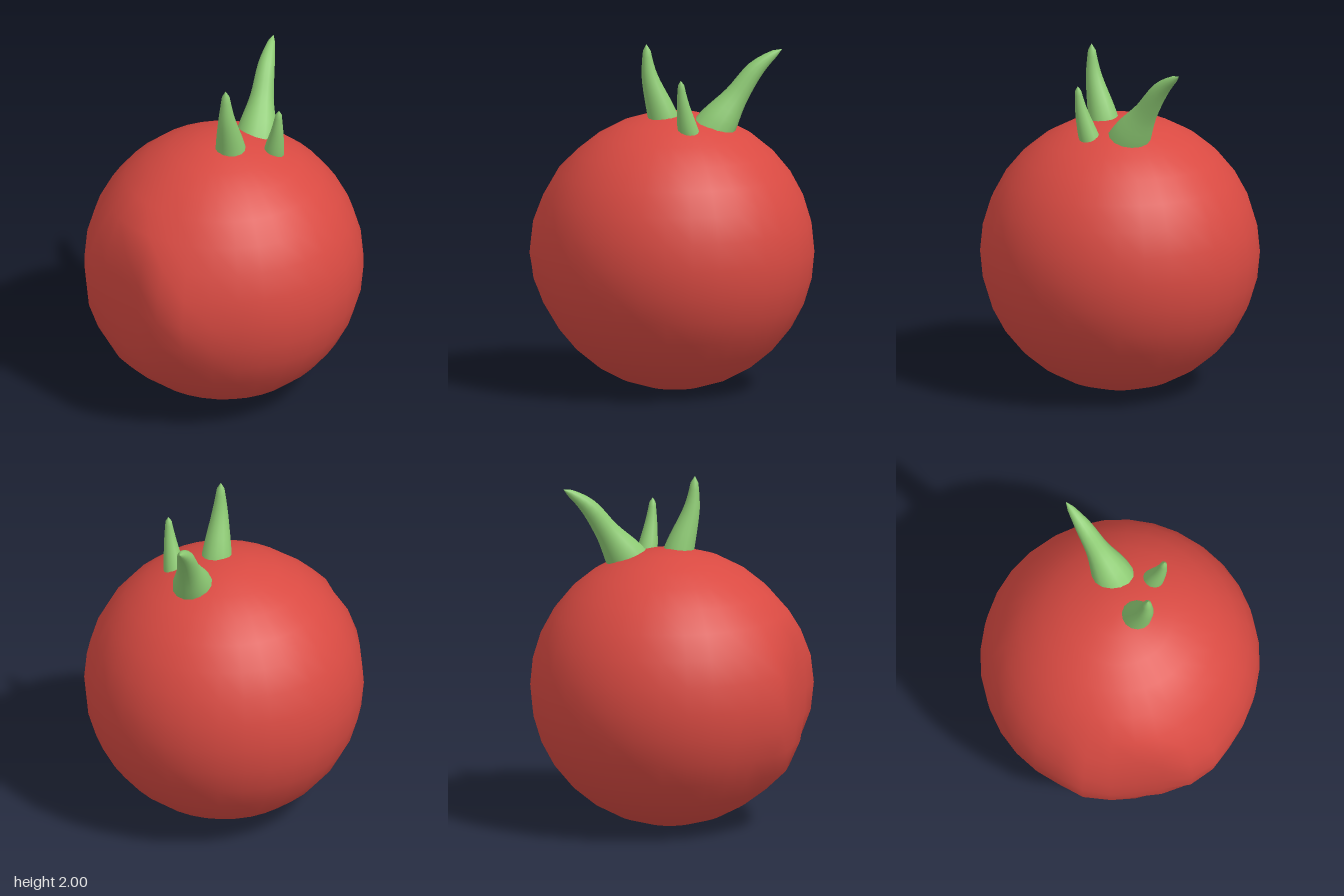
import * as THREE from 'three';
import { mergeVertices } from 'three/addons/utils/BufferGeometryUtils.js';

const red = new THREE.MeshStandardMaterial({ color: 0xd94a42 });
const green = new THREE.MeshStandardMaterial({ color: 0x8ecb74, side: THREE.DoubleSide });

// Round body with a shallow oval flat, ringed by a soft rim, on the front right
function makeBody() {
  let geo = new THREE.SphereGeometry(0.797, 32, 16);
  geo.deleteAttribute('uv');
  geo.deleteAttribute('normal');
  geo = mergeVertices(geo, 1e-4);
  const pos = geo.attributes.position;
  const v = new THREE.Vector3();
  const deg = 180 / Math.PI;
  for (let i = 0; i < pos.count; i++) {
    v.fromBufferAttribute(pos, i).normalize();
    const azimuth = Math.atan2(v.x, v.z) * deg;
    const latitude = Math.asin(v.y) * deg;
    const t = Math.hypot((azimuth + 33.75) / 22.5, latitude / 33);
    let r = t < 1
      ? 0.762 + 0.06 * t * t
      : 0.797 + 0.025 * Math.exp(-(((t - 1) / 0.3) ** 2));
    // small ridge at the front
    r += 0.035 * Math.exp(-((azimuth / 8) ** 2) - (latitude / 18) ** 2);
    pos.setXYZ(i, v.x * r, v.y * r, v.z * r);
  }
  geo.computeVertexNormals();
  const body = new THREE.Mesh(geo, red);
  body.name = 'body';
  body.position.set(0, 0.8, -0.025);
  return body;
}

// Curved tapering leaf; each point is [x, y, z, radius]
function makeLeaf(name, points) {
  const path = new THREE.CatmullRomCurve3(points.map(([x, y, z]) => new THREE.Vector3(x, y, z)));
  const radii = new THREE.CatmullRomCurve3(points.map((p, i) => new THREE.Vector3(p[3], i, 0)));
  const rings = 14, sides = 14;
  const geo = new THREE.TubeGeometry(path, rings, 1, sides, false);
  geo.deleteAttribute('uv');
  geo.deleteAttribute('normal');
  const pos = geo.attributes.position;
  const v = new THREE.Vector3();
  for (let i = 0; i <= rings; i++) {
    const u = i / rings;
    const centre = path.getPointAt(u);
    const r = i === rings ? 0.001 : radii.getPoint(path.getUtoTmapping(u)).x;
    for (let j = 0; j <= sides; j++) {
      const k = i * (sides + 1) + j;
      v.fromBufferAttribute(pos, k).sub(centre).multiplyScalar(r).add(centre);
      pos.setXYZ(k, v.x, v.y, v.z);
    }
  }
  const smooth = mergeVertices(geo, 1e-5);
  smooth.computeVertexNormals();
  const leaf = new THREE.Mesh(smooth, green);
  leaf.name = name;
  return leaf;
}

export function createModel() {
  const group = new THREE.Group();
  group.name = 'fruit';
  group.add(
    makeBody(),
    makeLeaf('frontLeaf', [
      [0.06, 1.5, 0.03, 0.092], [0.06, 1.6, 0.058, 0.084], [0.06, 1.82, 0.128, 0.046],
      [0.06, 1.985, 0.145, 0.018], [0.06, 2.0, 0.146, 0.012],
    ]),
    makeLeaf('sideLeaf', [
      [0.275, 1.48, -0.08, 0.062], [0.29, 1.56, -0.058, 0.056], [0.315, 1.7, -0.03, 0.034],
      [0.327, 1.815, -0.018, 0.016], [0.328, 1.83, -0.017, 0.012],
    ]),
    makeLeaf('backLeaf', [
      [0.13, 1.47, -0.2, 0.125], [0.13, 1.56, -0.26, 0.112], [0.125, 1.7, -0.36, 0.07],
      [0.118, 1.86, -0.48, 0.048], [0.115, 1.955, -0.605, 0.016], [0.115, 1.965, -0.625, 0.01],
    ]),
  );
  return group;
}
